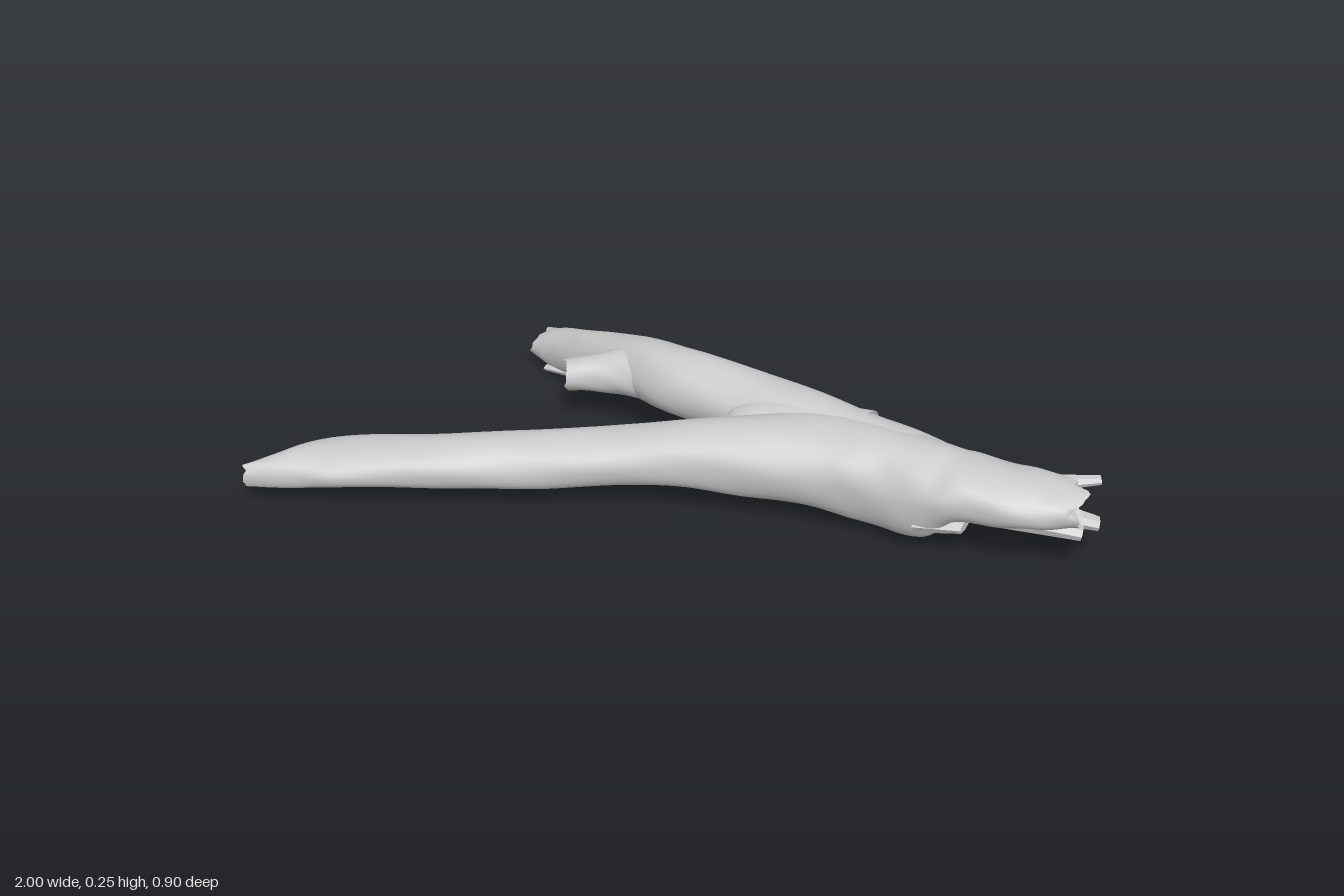
import * as THREE from 'three';

const SIDES = 40, STEPS = 10;
const material = new THREE.MeshStandardMaterial({ color: 0xcccccc, side: THREE.DoubleSide });

// Gentle bark undulation, and a rougher wave for snapped ends
const bark = (u, a) => 0.014 * Math.sin(3 * a + u * 2.3) + 0.012 * Math.sin(5 * a - u * 3.7) + 0.01 * Math.sin(u * 5.1 + a);
const jag = (a, k) => 0.5 * Math.sin(3 * a + k) + 0.3 * Math.sin(5 * a + 2 * k) + 0.2 * Math.sin(9 * a - k);

function mesh(name, geometry) {
  const m = new THREE.Mesh(geometry, material);
  m.name = name;
  return m;
}

function surface(points, index) {
  const g = new THREE.BufferGeometry();
  g.setAttribute('position', new THREE.Float32BufferAttribute(points.flatMap(p => p.toArray()), 3));
  g.setIndex(index);
  return g;
}

// Loft through stations [x, z, half width, bottom y, top y, hollow of underside]
function limb(name, stations, { flat = 0, jagStart = 0, jagEnd = 0 }) {
  const path = new THREE.CatmullRomCurve3(stations.map(s => new THREE.Vector3(s[0], s[1], s[2])), false, 'catmullrom');
  const heights = new THREE.CatmullRomCurve3(stations.map(s => new THREE.Vector3(s[3], s[4], s[5] || 0)), false, 'catmullrom');
  const n = (stations.length - 1) * STEPS;
  const points = [], index = [];
  for (let i = 0; i <= n; i++) {
    const t = i / n, u = i / STEPS;
    const c = path.getPoint(t), h = heights.getPoint(t);
    const d = path.getPoint(Math.min(1, t + 0.02)).sub(path.getPoint(Math.max(0, t - 0.02)));
    const along = new THREE.Vector3(d.x, 0, d.y).normalize();
    const side = new THREE.Vector3(0, 1, 0).cross(along);
    const mid = (h.x + h.y) / 2, half = (h.y - h.x) / 2;
    // Only the rings near a snapped end are pushed along the limb
    const nearStart = Math.max(0, 1 - i / 4), nearEnd = Math.max(0, 1 - (n - i) / 4);
    for (let j = 0; j < SIDES; j++) {
      const a = j / SIDES * Math.PI * 2;
      let s = Math.sin(a);
      const r = 1 + bark(u, a);
      const dent = s < 0 ? h.z * s * s : 0;
      if (s < 0) s = Math.max(s * (1 + flat), -1);
      const push = jagStart * nearStart * jag(a, 1) + jagEnd * nearEnd * jag(a, 2);
      points.push(new THREE.Vector3(c.x, mid + s * half * r + dent, c.y)
        .addScaledVector(side, Math.cos(a) * c.z * r)
        .addScaledVector(along, push));
    }
  }
  for (let i = 0; i < n; i++) for (let j = 0; j < SIDES; j++) {
    const k = (j + 1) % SIDES, a = i * SIDES + j, b = i * SIDES + k;
    index.push(a, b, a + SIDES, b, b + SIDES, a + SIDES);
  }
  const body = surface(points, index);
  body.computeVertexNormals();
  const group = new THREE.Group();
  group.name = name;
  group.add(mesh(name + 'Bark', body));

  // Rough broken faces closing both ends
  for (const end of [0, 1]) {
    const ring = points.slice(end * n * SIDES, end * n * SIDES + SIDES);
    const centre = ring.reduce((sum, p) => sum.add(p), new THREE.Vector3()).divideScalar(SIDES);
    const next = path.getPoint(end ? 0.97 : 0.03);
    const inward = new THREE.Vector3(next.x - centre.x, 0, next.y - centre.z).normalize();
    const inner = ring.map((p, j) => p.clone().lerp(centre, 0.5).addScaledVector(inward, 0.01 + 0.006 * Math.sin(j * 1.3)));
    const caps = [];
    for (let j = 0; j < SIDES; j++) {
      const k = (j + 1) % SIDES, m = SIDES;
      const tris = [[j, k, m + j], [k, m + k, m + j], [m + j, m + k, 2 * m]];
      tris.forEach(([a, b, c]) => caps.push(...(end ? [a, b, c] : [a, c, b])));
    }
    const face = surface([...ring, ...inner, centre.addScaledVector(inward, 0.01)], caps).toNonIndexed();
    face.computeVertexNormals();
    group.add(mesh(name + 'BrokenEnd', face));
  }
  return group;
}

// Flat faceted flake of torn wood from one point to another
function flake(from, to, width, thickness) {
  const a = new THREE.Vector3(...from), b = new THREE.Vector3(...to);
  const g = new THREE.CylinderGeometry(0.5, 1, a.distanceTo(b), 7).toNonIndexed();
  g.computeVertexNormals();
  const m = mesh('tornFlake', g);
  const along = b.clone().sub(a).normalize();
  const side = new THREE.Vector3(0, 1, 0).cross(along).normalize();
  m.quaternion.setFromRotationMatrix(new THREE.Matrix4().makeBasis(side, along, side.clone().cross(along)));
  m.scale.set(width, 1, thickness);
  m.position.copy(a).add(b).multiplyScalar(0.5);
  return m;
}

export function createModel() {
  const model = new THREE.Group();
  model.name = 'forkedBranch';

  // Trunk running on into the long limb, with its underside torn away near the thick end
  model.add(limb('trunkAndLongLimb', [
    [-0.99, 0.362, 0.014, 0.055, 0.108],
    [-0.91, 0.336, 0.043, 0.05, 0.126, 0.01],
    [-0.8, 0.299, 0.079, 0.048, 0.14, 0.025],
    [-0.6, 0.28, 0.081, 0.052, 0.156, 0.03],
    [-0.4, 0.259, 0.079, 0.05, 0.17, 0.03],
    [-0.2, 0.239, 0.079, 0.058, 0.185, 0.03],
    [0, 0.224, 0.083, 0.076, 0.21, 0.02],
    [0.2, 0.215, 0.1, 0.073, 0.236],
    [0.4, 0.215, 0.118, 0.055, 0.246],
    [0.53, 0.25, 0.11, 0.042, 0.246],
    [0.64, 0.299, 0.106, 0.052, 0.242],
    [0.7, 0.323, 0.101, 0.105, 0.237, 0.02],
    [0.8, 0.348, 0.097, 0.115, 0.23, 0.03],
    [0.88, 0.357, 0.087, 0.12, 0.222, 0.03],
    [0.95, 0.36, 0.07, 0.125, 0.212, 0.025]
  ], { flat: 0.5, jagStart: 0.006, jagEnd: 0.025 }));

  // Shorter limb leaving towards the back and dipping to the ground
  model.add(limb('shortLimb', [
    [0.72, 0.318, 0.075, 0.13, 0.222],
    [0.56, 0.236, 0.09, 0.08, 0.238],
    [0.4, 0.147, 0.092, 0.07, 0.246],
    [0.2, 0.045, 0.088, 0.085, 0.253],
    [0, -0.052, 0.086, 0.09, 0.253],
    [-0.12, -0.15, 0.078, 0.075, 0.228],
    [-0.24, -0.252, 0.06, 0.038, 0.178],
    [-0.34, -0.346, 0.052, 0.004, 0.13],
    [-0.408, -0.405, 0.05, 0.015, 0.092]
  ], { jagEnd: 0.014 }));

  // Saddle of wood filling the fork
  model.add(limb('forkSaddle', [
    [0.46, 0.175, 0.1, 0.075, 0.245],
    [0.32, 0.14, 0.09, 0.078, 0.24],
    [0.21, 0.118, 0.075, 0.085, 0.23],
    [0.15, 0.113, 0.05, 0.1, 0.21],
    [0.125, 0.112, 0.022, 0.13, 0.185]
  ], {}));

  // Snapped side twig
  model.add(limb('sideStub', [
    [-0.05, -0.1, 0.075, 0.09, 0.225],
    [-0.15, -0.122, 0.068, 0.09, 0.21],
    [-0.23, -0.113, 0.046, 0.098, 0.19],
    [-0.3, -0.101, 0.037, 0.1, 0.18]
  ], { jagEnd: 0.006 }));

  // Low knot beside the fork
  const knot = mesh('knot', new THREE.SphereGeometry(1, 20, 14));
  knot.scale.set(0.085, 0.05, 0.045);
  knot.position.set(0.01, 0.125, 0.157);
  model.add(knot);

  // Torn wood at the thick end and under the short limb's tip
  const flakes = [
    [[0.82, 0.15, 0.35], [0.998, 0.112, 0.35], 0.05, 0.026],
    [[0.84, 0.19, 0.325], [0.996, 0.2, 0.305], 0.032, 0.018],
    [[0.76, 0.145, 0.38], [0.96, 0.112, 0.395], 0.046, 0.03],
    [[0.78, 0.185, 0.375], [0.92, 0.195, 0.4], 0.045, 0.022],
    [[0.6, 0.085, 0.33], [0.7, 0.09, 0.365], 0.065, 0.025],
    [[-0.22, 0.055, -0.24], [-0.395, 0.018, -0.34], 0.032, 0.016],
    [[-0.34, 0.06, -0.36], [-0.4, 0.065, -0.442], 0.03, 0.022]
  ];
  flakes.forEach(f => model.add(flake(...f)));
  return model;
}
